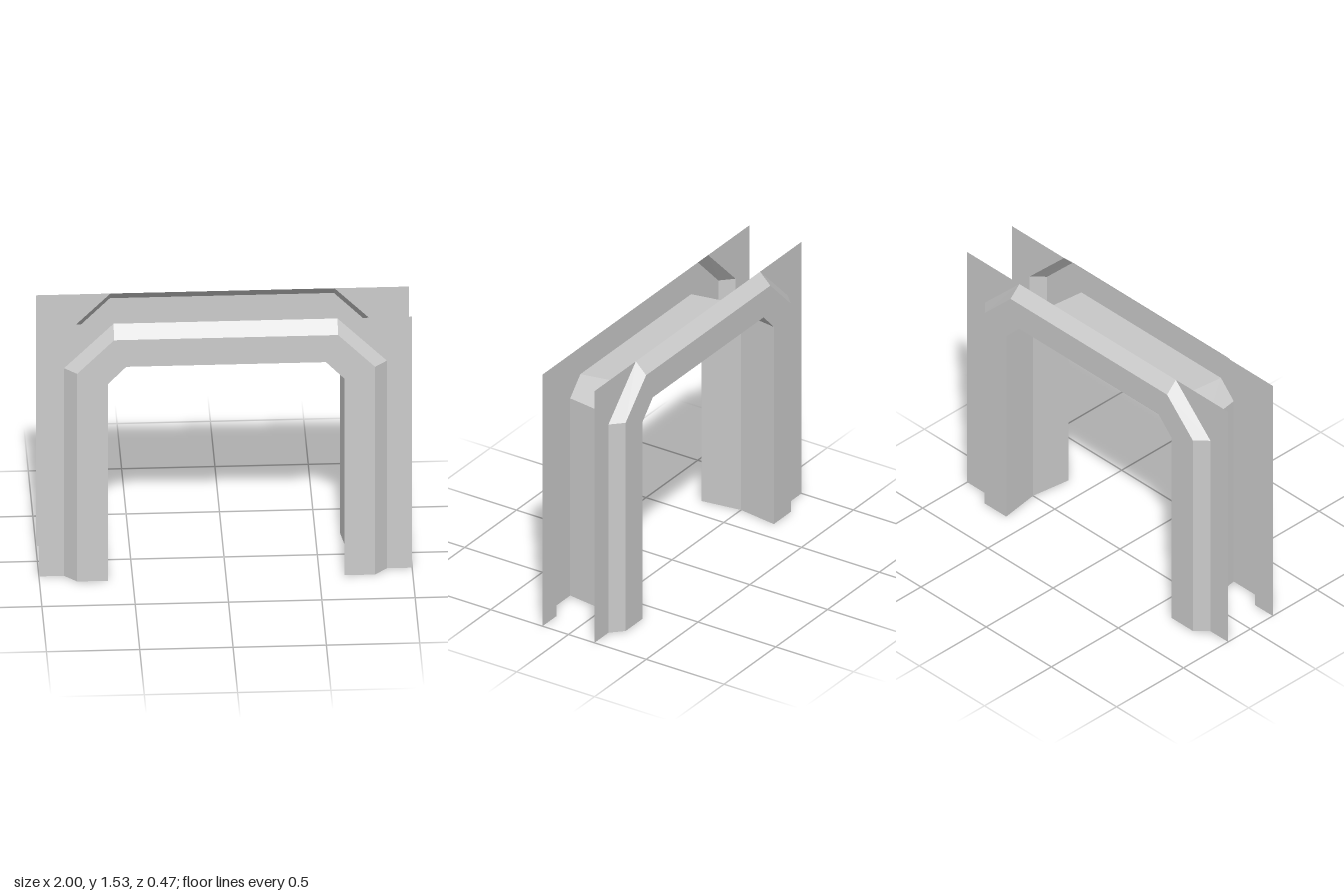
import * as THREE from 'three';

const material = new THREE.MeshStandardMaterial({ color: 0xcccccc, flatShading: true, side: THREE.DoubleSide });

// Arch outline with cut corners: half width, shoulder height, half top width, top height, depth
const arch = (w, c, t, h, z) =>
  [[w, 0], [w, c], [t, h], [-t, h], [-w, c], [-w, 0]].map(([x, y]) => new THREE.Vector3(x, y, z));

// Flat-faced surface between successive arch outlines
function loft(name, rings) {
  const points = [];
  for (let r = 0; r < rings.length - 1; r++) {
    const a = rings[r], b = rings[r + 1];
    for (let i = 0; i < a.length - 1; i++) {
      points.push(a[i], a[i + 1], b[i + 1], a[i], b[i + 1], b[i]);
    }
  }
  const geometry = new THREE.BufferGeometry().setFromPoints(points);
  geometry.computeVertexNormals();
  const mesh = new THREE.Mesh(geometry, material);
  mesh.name = name;
  return mesh;
}

export function createModel() {
  const group = new THREE.Group();
  group.name = 'doorFrame';

  const FACE_Z = 0.233, WALL_Z = 0.167;
  const bevelOuter = z => arch(0.865, 1.27, 0.6, 1.535, z);
  const bevelInner = z => arch(0.798, 1.27, 0.6, 1.47, z);
  const opening = z => arch(0.633, 1.203, 0.535, 1.306, z);
  const groove = arch(0.667, 1.203, 0.535, 1.332, 0);

  // Inner lining, creased outwards along its middle
  group.add(loft('lining', [opening(FACE_Z), groove, opening(-FACE_Z)]));

  // Front and back casings: sloped outer edge and flat face
  group.add(loft('frontCasing', [bevelOuter(WALL_Z), bevelInner(FACE_Z), opening(FACE_Z)]));
  group.add(loft('backCasing', [opening(-FACE_Z), bevelInner(-FACE_Z), bevelOuter(-WALL_Z)]));

  // Thin wall panels beside the casings, filling the square top corners
  for (const side of [1, -1]) {
    const outline = [[0.865, 0], [1, 0], [1, 1.535], [0.6, 1.535], [0.865, 1.27]]
      .map(([x, y]) => new THREE.Vector2(x * side, y));
    const panel = new THREE.ShapeGeometry(new THREE.Shape(outline));
    for (const face of [1, -1]) {
      const mesh = new THREE.Mesh(panel, material);
      mesh.name = (face > 0 ? 'front' : 'back') + (side > 0 ? 'Left' : 'Right') + 'WallPanel';
      // Symmetric pairs: the back panel is the opposite front panel turned around
      mesh.rotation.y = face > 0 ? 0 : Math.PI;
      mesh.position.z = face * WALL_Z;
      if (face < 0) mesh.name = side > 0 ? 'backRightWallPanel' : 'backLeftWallPanel';
      group.add(mesh);
    }
  }
  return group;
}
